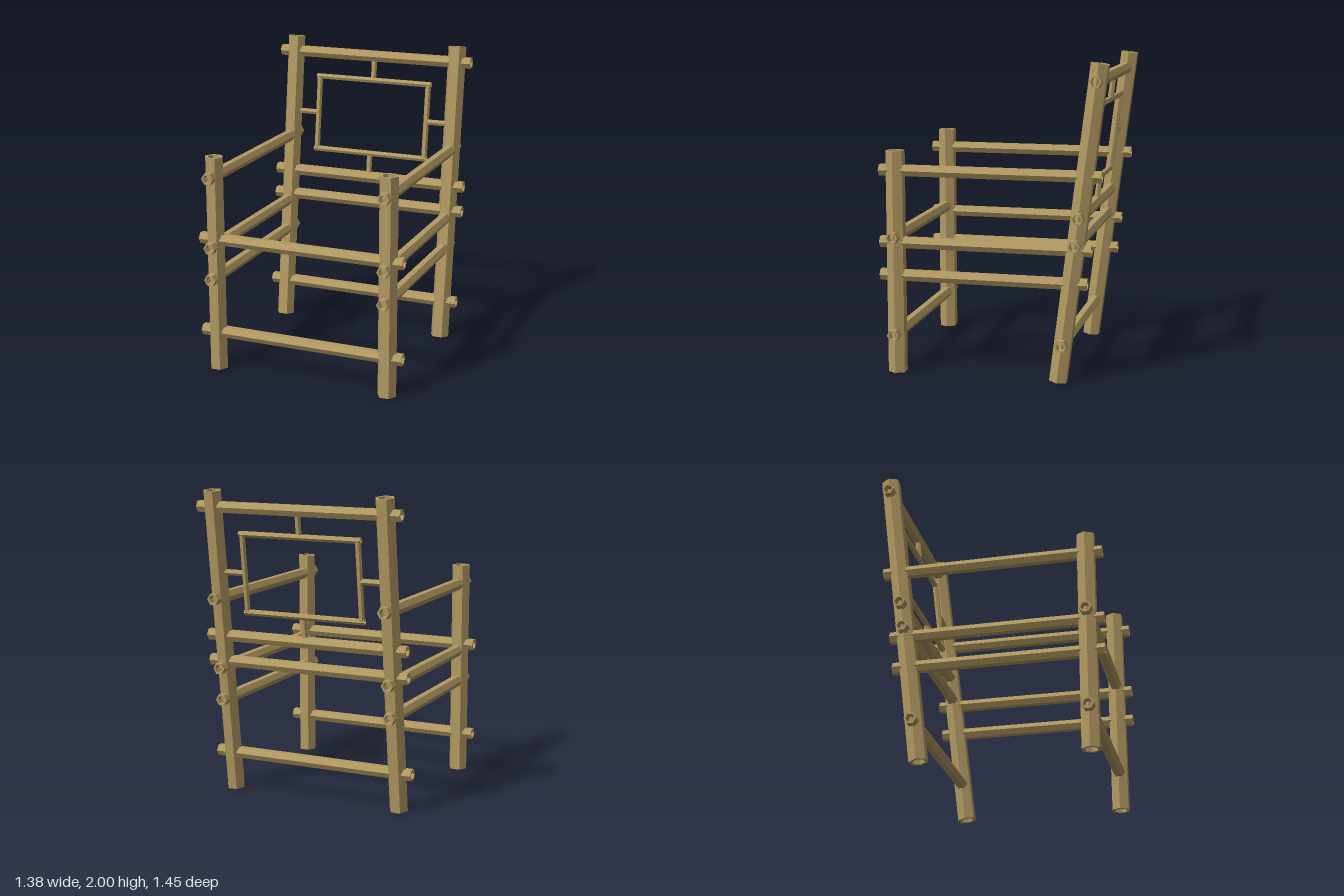
import * as THREE from 'three';

const wood = new THREE.MeshStandardMaterial({ color: 0xb39a62 });
wood.name = 'bamboo tan';

// Six corner points, two of them on the x axis
const hexagon = (r) => Array.from({ length: 6 }, (_, i) =>
  new THREE.Vector2(r * Math.cos(i * Math.PI / 3), r * Math.sin(i * Math.PI / 3)));

// Hollow six-sided pole, centred on its position and running along one axis
function pole(name, radius, length, axis, x, y, z) {
  const shape = new THREE.Shape(hexagon(radius));
  shape.holes.push(new THREE.Path(hexagon(radius * 0.7)));
  const geometry = new THREE.ExtrudeGeometry(shape, { depth: length, bevelEnabled: false });
  geometry.translate(0, 0, -length / 2);
  if (axis === 'x') geometry.rotateY(Math.PI / 2);
  if (axis === 'y') geometry.rotateX(-Math.PI / 2);
  const mesh = new THREE.Mesh(geometry, wood);
  mesh.name = name;
  mesh.position.set(x, y, z);
  return mesh;
}

export function createModel() {
  const chair = new THREE.Group();
  chair.name = 'poleChair';
  const POST = 0.062, RAIL = 0.04, ROD = 0.02;
  const legX = 0.588, frontZ = 0.627, frontEnd = 0.73;
  const tilt = 0.123, backMidZ = -0.5475;
  const backZ = (y) => backMidZ - (y - 1) * Math.tan(tilt);

  // Leaning back assembly: rear posts and the panel frame between them
  const back = new THREE.Group();
  back.name = 'leaningBack';
  back.position.set(0, 1, backMidZ);
  back.rotation.x = -tilt;
  chair.add(back);
  const up = (y) => (y - 1) / Math.cos(tilt);

  for (const [side, s] of [['left', 1], ['right', -1]]) {
    chair.add(pole(side + 'FrontLeg', POST, 1.43, 'y', s * legX, 0.715, frontZ));
    back.add(pole(side + 'BackPost', POST, 2.002, 'y', s * legX, 0, 0));

    // Side rails poke out past the front and rear posts
    for (const [name, y, end] of [['Armrest', 1.305, -0.69], ['SeatRail', 0.845, -0.63], ['LowerRail', 0.633, -0.605]]) {
      chair.add(pole(side + name, RAIL, frontEnd - end, 'z', s * legX, y, (frontEnd + end) / 2));
    }

    // Frame upright and the short rod joining it to the post
    back.add(pole(side + 'FrameUpright', ROD, 0.5, 'y', s * 0.398, up(1.473), 0));
    back.add(pole(side + 'FrameRod', ROD, 0.15, 'x', s * 0.485, up(1.473), 0));
  }

  // Cross rails at the front and up the back
  for (const y of [0.255, 0.885]) chair.add(pole('frontCrossRail', RAIL, 1.384, 'x', 0, y, frontZ));
  for (const y of [0.255, 0.885, 1.055, 1.89]) {
    chair.add(pole('backCrossRail', RAIL, 1.384, 'x', 0, y, backZ(y)));
  }

  // Frame bars and the short rods joining them to the cross rails
  for (const y of [1.22, 1.725]) back.add(pole('frameBar', ROD, 0.836, 'x', 0, up(y), 0));
  for (const y of [1.14, 1.805]) back.add(pole('frameRod', ROD, 0.125, 'y', 0, up(y), 0));

  return chair;
}
